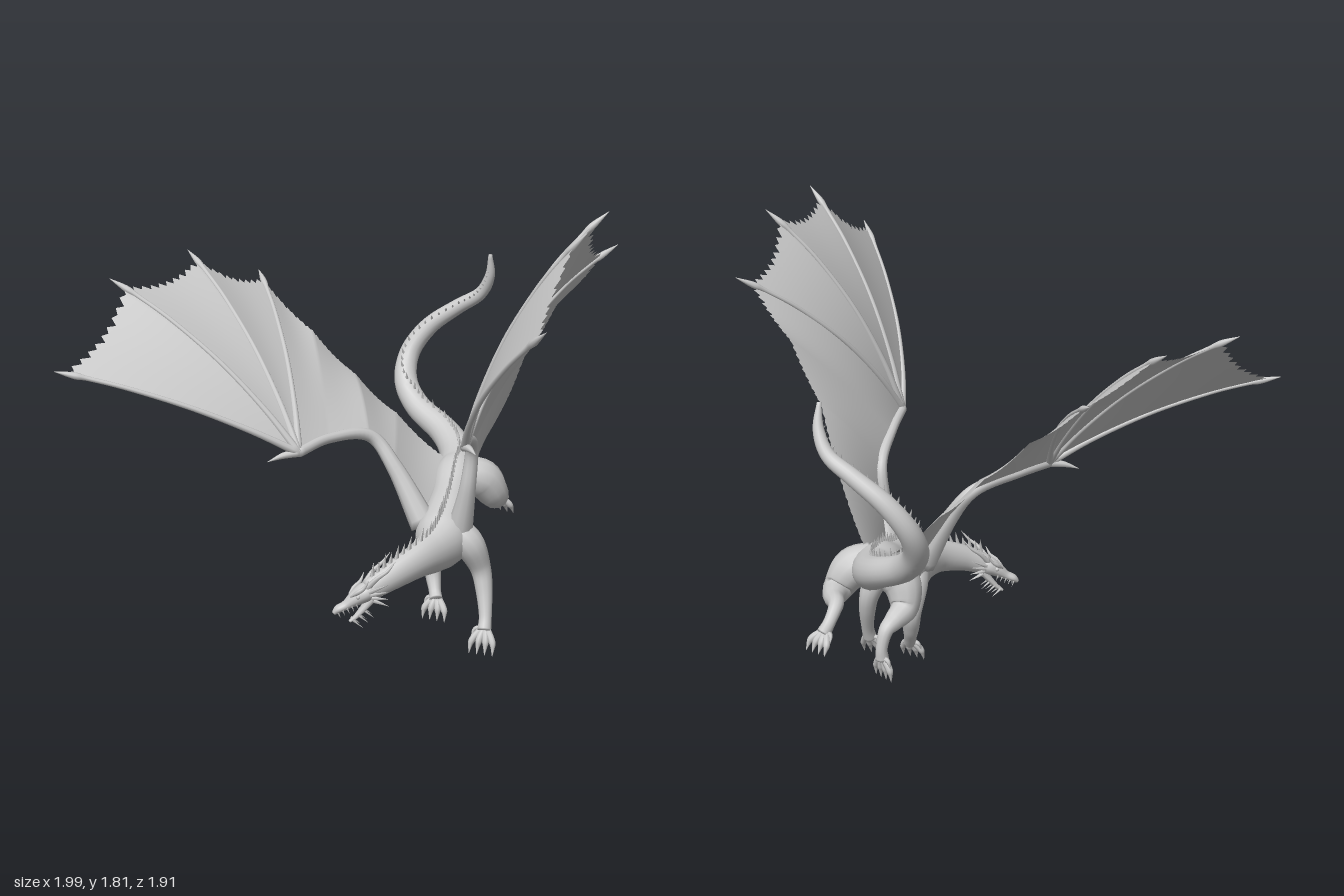
import * as THREE from 'three';
import { mergeGeometries } from 'three/addons/utils/BufferGeometryUtils.js';

const V = (a) => new THREE.Vector3(a[0], a[1], a[2]);
const spline = (pts) => new THREE.CatmullRomCurve3(pts, false, 'catmullrom', 0.5);
const skin = new THREE.MeshStandardMaterial({ color: 0xcccccc });
const thin = new THREE.MeshStandardMaterial({ color: 0xcccccc, side: THREE.DoubleSide });

function add(parent, name, geometry, material = skin) {
  const mesh = new THREE.Mesh(geometry, material);
  mesh.name = name;
  parent.add(mesh);
  return mesh;
}

function surface(pos, idx) {
  const g = new THREE.BufferGeometry();
  g.setAttribute('position', new THREE.Float32BufferAttribute(pos, 3));
  g.setIndex(idx);
  g.computeVertexNormals();
  return g;
}

// Sweeps an elliptical section along points [x, y, z, halfWidth, halfHeight]
function sweep(pts, sides = 10, segs = pts.length * 5, ref = null) {
  const path = spline(pts.map(V));
  const size = spline(pts.map((p) => new THREE.Vector3(p[3], p[4] ?? p[3], 0)));
  const pos = [], idx = [];
  let n = new THREE.Vector3(0.21, 0.9, 0.38);
  for (let i = -1; i <= segs + 1; i++) {
    const t = THREE.MathUtils.clamp(i / segs, 0, 1), cap = i < 0 || i > segs ? 0 : 1;
    const p = path.getPoint(t), r = size.getPoint(t), tan = path.getTangent(t);
    if (ref) n = ref(t);
    const s = tan.clone().cross(n).normalize();
    n = s.clone().cross(tan);
    for (let j = 0; j < sides; j++) {
      const a = (j / sides) * Math.PI * 2;
      const q = p.clone().addScaledVector(s, Math.cos(a) * r.x * cap).addScaledVector(n, Math.sin(a) * r.y * cap);
      pos.push(q.x, q.y, q.z);
      if (i > segs) continue;
      const k = (i + 1) * sides, b = k + ((j + 1) % sides);
      idx.push(k + j, k + j + sides, b, b, k + j + sides, b + sides);
    }
  }
  return surface(pos, idx);
}

// Thin pointed cone from one point to another
function spike(from, to, r, sides = 5) {
  const d = to.clone().sub(from), len = d.length();
  const g = new THREE.ConeGeometry(r, len, sides);
  g.translate(0, len / 2, 0);
  g.applyQuaternion(new THREE.Quaternion().setFromUnitVectors(new THREE.Vector3(0, 1, 0), d.normalize()));
  return g.translate(from.x, from.y, from.z);
}

// Neck, trunk and tail in one sweep, with a crest of spines on top
const SPINE = [
  [0.1, 0.33, 0.37, 0.036, 0.042], [0.17, 0.375, 0.29, 0.045, 0.055], [0.23, 0.41, 0.18, 0.055, 0.07],
  [0.255, 0.42, 0.07, 0.075, 0.09], [0.255, 0.44, -0.03, 0.11, 0.115], [0.238, 0.49, -0.14, 0.1, 0.105],
  [0.21, 0.54, -0.26, 0.085, 0.09], [0.185, 0.585, -0.37, 0.09, 0.09], [0.165, 0.605, -0.46, 0.082, 0.08],
  [0.11, 0.64, -0.57, 0.07], [0.02, 0.69, -0.66, 0.06], [-0.12, 0.76, -0.73, 0.053], [-0.2, 0.85, -0.79, 0.049],
  [-0.21, 0.96, -0.86, 0.043], [-0.14, 1.07, -0.905, 0.038], [-0.02, 1.16, -0.925, 0.032],
  [0.08, 1.225, -0.925, 0.027], [0.13, 1.31, -0.905, 0.021], [0.14, 1.405, -0.88, 0.008],
];
const spineUp = (t) => new THREE.Vector3(0, 1, 0).lerp(new THREE.Vector3(-0.25, 0.3, 1),
  THREE.MathUtils.smoothstep(t, 0.6, 0.85));

function body(root) {
  add(root, 'body', sweep(SPINE, 18, 120, spineUp));
  const path = spline(SPINE.map(V)), height = spline(SPINE.map((p) => new THREE.Vector3(p[4] ?? p[3], 0, 0)));
  const spines = [];
  for (let i = 0; i < 74; i++) {
    const t = 0.02 + (i / 74) * 0.95, tan = path.getTangent(t), up = spineUp(t);
    up.addScaledVector(tan, -up.dot(tan)).normalize();
    const base = path.getPoint(t).addScaledVector(up, height.getPoint(t).x - 0.008);
    const h = (0.058 - 0.036 * t) * (i % 2 ? 0.8 : 1);
    spines.push(spike(base, base.clone().addScaledVector(up, h).addScaledVector(tan, h * 0.55), 0.011 - 0.004 * t, 4));
  }
  add(root, 'crest', mergeGeometries(spines));
}

// Head is modelled facing +z, then aimed along the muzzle
function head(root) {
  const h = new THREE.Group();
  h.name = 'head';
  h.position.set(0.12, 0.335, 0.355);
  h.lookAt(-0.02, 0.25, 0.445);
  root.add(h);
  const up = () => new THREE.Vector3(0, 1, 0);
  add(h, 'skull', sweep([[0, 0, -0.02, 0.03], [0, 0.008, 0.03, 0.046, 0.037], [0, 0.006, 0.075, 0.038, 0.03],
    [0, 0, 0.12, 0.024, 0.018], [0, 0.001, 0.155, 0.021, 0.015], [0, -0.006, 0.178, 0.01, 0.008]], 12, 30, up));
  add(h, 'lowerJaw', sweep([[0, -0.025, 0.02, 0.03, 0.018], [0, -0.045, 0.065, 0.024, 0.013],
    [0, -0.062, 0.11, 0.016, 0.009], [0, -0.067, 0.14, 0.008, 0.005]], 10, 20, up));
  const parts = [], P = (x, y, z) => new THREE.Vector3(x, y, z);
  for (const s of [-1, 1]) {
    // Horns sweeping back, brow ridges, cheek frills, teeth and chin barbs
    parts.push(sweep([[s * 0.022, 0.025, 0.025, 0.013], [s * 0.045, 0.05, -0.03, 0.009], [s * 0.055, 0.06, -0.08, 0.006],
      [s * 0.055, 0.08, -0.125, 0.001]], 6, 12));
    parts.push(sweep([[s * 0.018, 0.026, 0.09, 0.004], [s * 0.034, 0.034, 0.06, 0.009], [s * 0.042, 0.04, 0.03, 0.007],
      [s * 0.052, 0.062, 0, 0.001]], 6, 12));
    for (let i = 0; i < 4; i++)
      parts.push(spike(P(s * 0.036, 0.012 - i * 0.013, 0.02), P(s * (0.085 - i * 0.008), 0.02 - i * 0.03, -0.06 + i * 0.012), 0.009));
    for (let i = 0; i < 5; i++) {
      const z = 0.085 + i * 0.019, x = s * (0.029 - i * 0.004);
      parts.push(spike(P(x, -0.008, z), P(x, -0.033, z + 0.002), 0.004));
    }
    for (let i = 0; i < 3; i++)
      parts.push(spike(P(s * 0.014, -0.05 - i * 0.006, 0.07 + i * 0.028), P(s * 0.022, -0.095 - i * 0.007, 0.05 + i * 0.028), 0.006));
  }
  const strip = parts.map((g) => { g.deleteAttribute('uv'); return g; });
  add(h, 'hornsAndTeeth', mergeGeometries(strip));
  for (const s of [-1, 1]) add(h, 'eye', new THREE.SphereGeometry(0.008, 10, 8)).position.set(s * 0.036, 0.017, 0.066);
}

// Leg sweep ending in four clawed toes that reach along "dir"
function leg(root, name, pts, dir, across) {
  const g = new THREE.Group();
  g.name = name;
  root.add(g);
  add(g, 'limb', sweep(pts, 12, 36));
  const p = V(pts.at(-1)), d = V(dir), a = V(across);
  const at = (f, s, lift, r) => {
    const q = p.clone().addScaledVector(d, f).addScaledVector(a, s);
    return [q.x, q.y + lift, q.z, r];
  };
  for (let i = 0; i < 4; i++) {
    const s = (i - 1.5) * 0.021;
    add(g, 'toe', sweep([at(0, s * 0.5, 0, 0.014), at(0.04, s * 1.1, 0.006, 0.014), at(0.062, s * 1.4, 0.004, 0.013),
      at(0.078, s * 1.5, -0.001, 0.008), at(0.102, s * 1.55, -0.012, 0.001)], 8, 18));
  }
  add(g, 'dewclaw', sweep([at(-0.01, 0, 0, 0.012), at(0.0, -0.038, 0.002, 0.009), at(0.035, -0.05, -0.006, 0.001)], 6, 10));
}

// Wing: arm, four long fingers, thumb claw and a ragged membrane over the ribs
function wing(root, name, w) {
  const g = new THREE.Group();
  g.name = name;
  root.add(g);
  const [wrist] = w.arm, radii = [0.019, 0.02, 0.025, 0.033, 0.055];
  add(g, 'arm', sweep(w.arm.map((p, i) => [...p, radii[i]]), 10, 36));
  add(g, 'thumb', sweep([[...wrist, 0.017], [...V(wrist).lerp(V(w.thumb), 0.5).add(V([0, 0.006, 0])).toArray(), 0.012],
    [...w.thumb, 0.001]], 8, 12));
  const curve = (a, b, bow) => new THREE.QuadraticBezierCurve3(V(a), V(a).lerp(V(b), 0.5).addScaledVector(V(bow), 2), V(b));
  const fingers = w.tips.map((tip, i) => curve(wrist, tip, w.bows[i]));
  const bone = [0.016, 0.012, 0.01, 0.009, 0.009, 0.013, 0.001], stops = [0, 0.2, 0.45, 0.7, 0.86, 0.92, 1];
  for (const f of fingers)
    add(g, 'finger', sweep(stops.map((t, i) => [...f.getPoint(t).toArray(), bone[i]]), 8, 40));
  const ribs = [...fingers.map((c, i) => ({ c, end: i ? 0.93 : 0.96 })),
    ...w.trail.map((t, i) => ({ c: curve(w.arm[i + 1], t, w.trailBow), end: 1 }))];
  const nu = 16, nv = 20, pos = [], idx = [], cols = (ribs.length - 1) * nv;
  for (let k = 0; k <= cols; k++) {
    const r = Math.min(Math.floor(k / nv), ribs.length - 2), v = k / nv - r, A = ribs[r], B = ribs[r + 1];
    const dip = Math.sin(Math.PI * v), tooth = k % 2 ? 0.012 + 0.014 * Math.abs(Math.sin(k * 2.3)) : -0.006;
    for (let i = 0; i <= nu; i++) {
      let u = (i / nu) * (1 - (r < 3 ? 0.035 : 0) * dip);
      if (i === nu) u -= tooth;
      const q = A.c.getPoint(Math.min(1, u * A.end)).lerp(B.c.getPoint(Math.min(1, u * B.end)), v);
      pos.push(q.x, q.y - 0.014 * dip * u, q.z);
      if (k === cols || i === nu) continue;
      const a = k * (nu + 1) + i, b = a + nu + 1;
      idx.push(a, b, a + 1, a + 1, b, b + 1);
    }
  }
  add(g, 'membrane', surface(pos, idx), thin);
}

export function createModel() {
  const root = new THREE.Group();
  root.name = 'dragon';
  body(root);
  head(root);

  leg(root, 'leftForeleg', [[0.3, 0.47, -0.05, 0.065], [0.36, 0.42, -0.055, 0.062], [0.395, 0.32, -0.085, 0.043],
    [0.415, 0.24, -0.075, 0.035], [0.435, 0.14, -0.04, 0.026], [0.44, 0.085, -0.015, 0.028]], [0, -0.75, 0.4], [1, 0, 0]);
  leg(root, 'rightForeleg', [[0.21, 0.45, -0.06, 0.065], [0.175, 0.4, -0.12, 0.055], [0.155, 0.32, -0.18, 0.042],
    [0.165, 0.24, -0.165, 0.033], [0.185, 0.18, -0.135, 0.025], [0.2, 0.15, -0.11, 0.027]], [0, -0.65, 0.3], [1, 0, 0.1]);
  leg(root, 'leftHindLeg', [[0.2, 0.6, -0.38, 0.075], [0.275, 0.575, -0.43, 0.08], [0.315, 0.5, -0.475, 0.06],
    [0.29, 0.495, -0.55, 0.042], [0.24, 0.5, -0.62, 0.03], [0.235, 0.455, -0.675, 0.024], [0.25, 0.41, -0.7, 0.028]],
  [0.12, -0.55, -0.45], [0.95, 0, 0.25]);
  leg(root, 'rightHindLeg', [[0.15, 0.58, -0.38, 0.075], [0.09, 0.52, -0.37, 0.075], [0.065, 0.44, -0.4, 0.057],
    [0.07, 0.41, -0.47, 0.04], [0.08, 0.385, -0.52, 0.029], [0.088, 0.32, -0.54, 0.023], [0.09, 0.27, -0.535, 0.027]],
  [0, -0.72, 0.1], [0.9, 0, 0.4]);

  wing(root, 'leftWing', {
    arm: [[0.49, 0.95, 0.37], [0.435, 0.92, 0.18], [0.39, 0.84, 0.01], [0.365, 0.66, -0.01], [0.315, 0.45, -0.05]],
    thumb: [0.57, 0.955, 0.47],
    tips: [[0.99, 1.56, 0.95], [0.98, 1.81, 0.49], [0.93, 1.81, 0.06], [0.87, 1.62, -0.27]],
    bows: [[-0.06, 0, 0], [-0.05, 0.05, 0], [-0.06, 0.06, 0], [-0.06, 0.06, 0]],
    trail: [[0.65, 1.39, -0.24], [0.51, 1.15, -0.25], [0.38, 0.88, -0.33], [0.22, 0.65, -0.42]],
    trailBow: [-0.01, 0.02, -0.01],
  });
  wing(root, 'rightWing', {
    arm: [[-0.2, 0.84, 0.33], [-0.155, 0.85, 0.14], [-0.06, 0.825, -0.04], [0.04, 0.7, -0.06], [0.17, 0.48, -0.05]],
    thumb: [-0.3, 0.81, 0.4],
    tips: [[-1, 1.19, 0.78], [-0.975, 1.465, 0.37], [-0.865, 1.5, -0.085], [-0.7, 1.37, -0.4]],
    bows: [[0.02, 0.04, 0.02], [0.03, 0.05, 0], [0.03, 0.05, 0], [0.03, 0.04, 0]],
    trail: [[-0.42, 1.16, -0.31], [-0.24, 0.99, -0.33], [-0.08, 0.83, -0.38], [0.12, 0.65, -0.42]],
    trailBow: [0, 0.02, -0.01],
  });
  return root;
}
